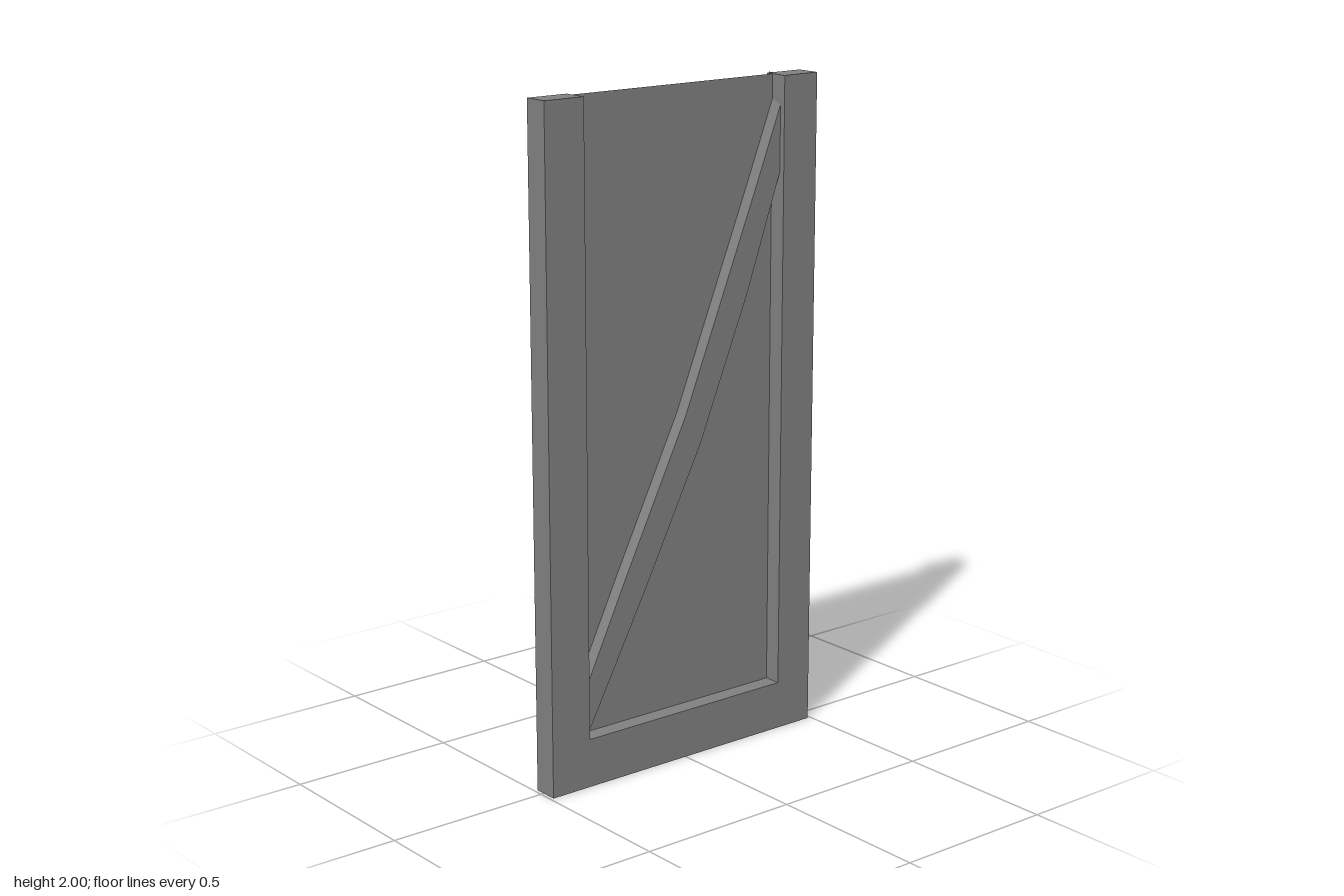
import * as THREE from 'three';

const material = new THREE.MeshStandardMaterial({
  color: 0x808080, flatShading: true, side: THREE.DoubleSide,
});

function addMesh(group, name, geometry) {
  const mesh = new THREE.Mesh(geometry, material);
  mesh.name = name;
  group.add(mesh);
  return mesh;
}

// Places a 2D line at depth z, shifted by dx, dy
const atDepth = (line, z, dx = 0, dy = 0) => line.map(([x, y]) => [x + dx, y + dy, z]);

// Thin surface spanning two lines with equal point counts
function loft(a, b) {
  const positions = [];
  for (let i = 0; i < a.length - 1; i++) {
    positions.push(...a[i], ...b[i], ...b[i + 1], ...a[i], ...b[i + 1], ...a[i + 1]);
  }
  const geometry = new THREE.BufferGeometry();
  geometry.setAttribute('position', new THREE.Float32BufferAttribute(positions, 3));
  geometry.computeVertexNormals();
  return geometry;
}

export function createModel() {
  const group = new THREE.Group();
  group.name = 'panel';
  const w = 0.49, h = 2, rail = 0.147, inL = -0.357, inR = 0.365;
  const front = 0.047, frameBack = -0.03, sheetZ = -0.006;
  const braceFront = 0.03, braceBack = -0.047;

  // U-shaped frame: front face and walls, open at the back
  const outline = [
    [-w, 0], [w, 0], [w, h], [inR, h], [inR, rail], [inL, rail], [inL, h], [-w, h],
  ];
  const frame = new THREE.Group();
  frame.name = 'frame';
  const shape = new THREE.Shape(outline.map(([x, y]) => new THREE.Vector2(x, y)));
  addMesh(frame, 'frameFace', new THREE.ShapeGeometry(shape)).position.z = front;
  const loop = [...outline, outline[0]];
  addMesh(frame, 'frameWalls', loft(atDepth(loop, frameBack), atDepth(loop, front)));
  group.add(frame);

  // Thin sheet closing the whole panel, set in from the back edges
  addMesh(group, 'sheet', new THREE.PlaneGeometry(2 * w, h)).position.set(0, h / 2, sheetZ);

  // Curved diagonal brace: front face between two slightly tapered side walls
  const upper = [[-0.433, 0.14], [-0.21, 0.6], [0.012, 1.045], [0.274, 1.685], [0.397, 1.996]];
  const lower = [[-0.355, 0.148], [-0.133, 0.56], [0.069, 0.955], [0.245, 1.38], [0.392, 1.795]];
  const upperFront = atDepth(upper, braceFront);
  const lowerFront = atDepth(lower, braceFront);
  const brace = new THREE.Group();
  brace.name = 'brace';
  addMesh(brace, 'braceFace', loft(upperFront, lowerFront));
  addMesh(brace, 'braceUpperWall', loft(atDepth(upper, braceBack, -0.009, 0.004), upperFront));
  addMesh(brace, 'braceLowerWall', loft(lowerFront, atDepth(lower, braceBack, 0.018, -0.008)));
  group.add(brace);

  return group;
}
